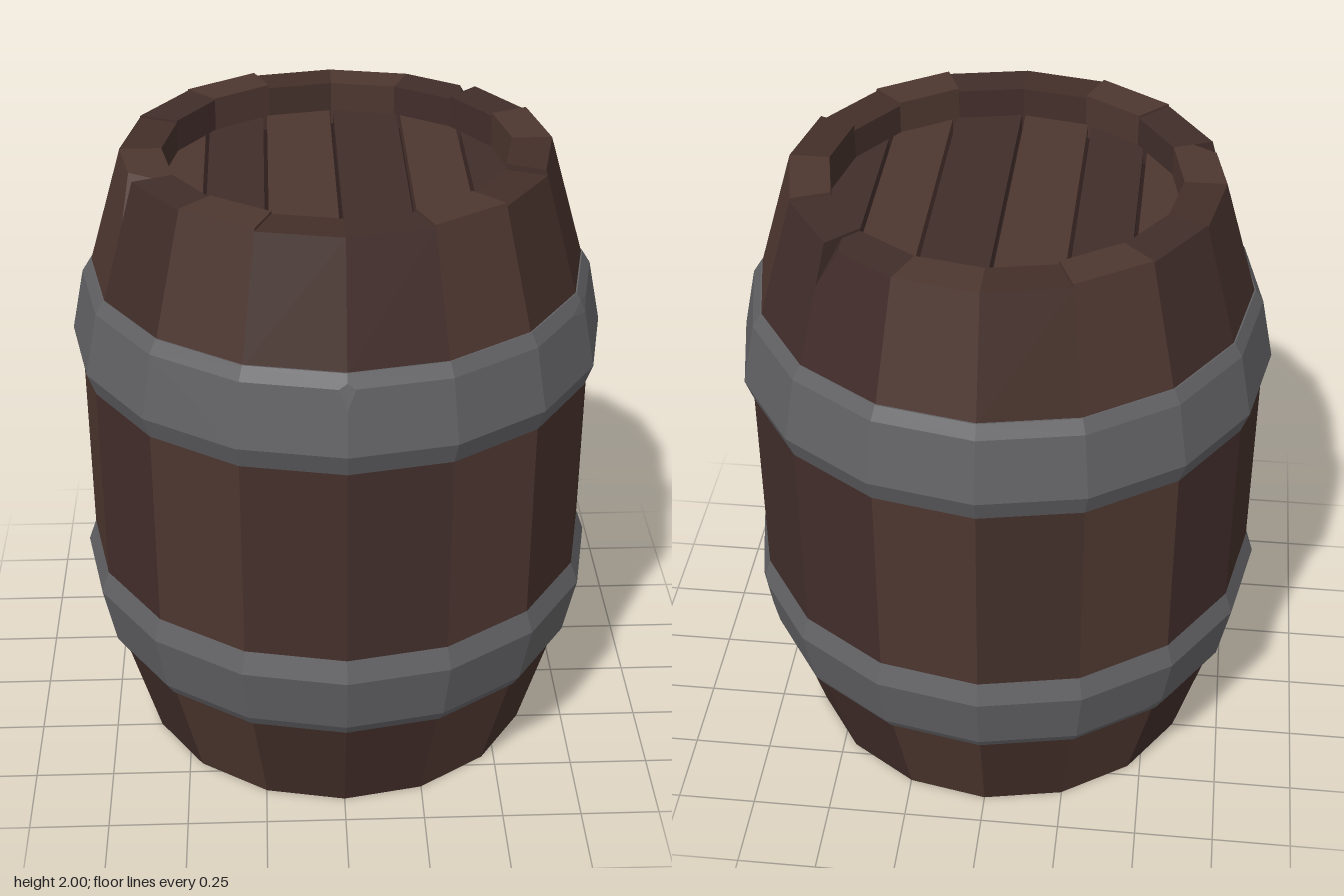
import * as THREE from 'three';
import { ConvexGeometry } from 'three/addons/geometries/ConvexGeometry.js';

const SIDES = 16;
const STEP = (Math.PI * 2) / SIDES;

const paint = (color) => new THREE.MeshStandardMaterial({ color, flatShading: true });
const woods = [0x4d3630, 0x412d2a, 0x432f29].map(paint);
const iron = paint(0x616063);
const gapWood = paint(0x2b1d1b);

const polar = (r, y, i) => new THREE.Vector3(r * Math.cos(i * STEP), y, r * Math.sin(i * STEP));

// One segment of the barrel wall: a convex [radius, height] profile spanning one side.
// A chip cuts the corner at profile point k on edge 0 or 1, by fractions
// towards the next, previous and opposite points.
function wedge(profile, i, chip) {
  const n = profile.length;
  const edges = [0, 1].map((s) => profile.map(([r, y]) => polar(r, y, i + s)));
  const points = [];
  edges.forEach((edge, s) => edge.forEach((p, k) => {
    if (chip && chip.edge === s && chip.k === k) {
      const targets = [edge[(k + 1) % n], edge[(k + n - 1) % n], edges[1 - s][k]];
      targets.forEach((t, j) => points.push(p.clone().lerp(t, chip.cut[j])));
    } else points.push(p);
  }));
  return new ConvexGeometry(points);
}

function addMesh(parent, name, geometry, material) {
  const mesh = new THREE.Mesh(geometry, material);
  mesh.name = name;
  parent.add(mesh);
  return mesh;
}

// Sixteen staves with slightly uneven tops, two of them chipped
function createStaves() {
  const group = new THREE.Group();
  group.name = 'staves';
  const tones = [2, 2, 0, 1, 2, 0, 1, 0, 2, 1, 0, 2, 0, 1, 1, 0];
  const tops = { 0: 2, 15: 2, 2: 1.992, 5: 1.99, 9: 1.988, 10: 1.993, 14: 1.99 };
  const chips = {
    7: { edge: 0, k: 5, cut: [0.5, 0.33, 0.27] },
    13: { edge: 1, k: 5, cut: [0.5, 0.33, 0.22] },
  };
  for (let i = 0; i < SIDES; i++) {
    const top = tops[i] ?? 1.982;
    const rim = 0.645 + (2 - top) * 0.28; // keeps the outer faces on one slope
    const profile = [
      [0.65, 0], [0.757, 0.38], [0.8, 0.58], [0.8, 1.4], [0.757, 1.617], [rim, top], [0.525, top], [0.525, 0],
    ];
    addMesh(group, 'stave', wedge(profile, i, chips[i]), woods[tones[i]]);
  }
  return group;
}

// Iron hoop with bevelled edges; flip mirrors it top to bottom, dents lists worn corners
function createHoop(name, flip, dents) {
  const group = new THREE.Group();
  group.name = name;
  const profile = [[0.76, 0.36], [0.785, 0.4], [0.825, 0.595], [0.8, 0.665], [0.7, 0.665], [0.7, 0.36]]
    .map(([r, y]) => [r, flip ? 1.983 - y : y]);
  for (let i = 0; i < SIDES; i++) {
    let chip;
    for (const { at, k, cut } of dents) {
      if (i === at) chip = { edge: 0, k, cut };
      if ((i + 1) % SIDES === at) chip = { edge: 1, k, cut };
    }
    addMesh(group, 'hoopSegment', wedge(profile, i, chip), iron);
  }
  return group;
}

// Recessed lid of six planks whose edges follow the corners of the sixteen-sided opening
function createLid() {
  const group = new THREE.Group();
  group.name = 'lid';
  const R = 0.56, gap = 0.006;
  const cuts = [8, 6, 5, 4, 3, 2, 0];
  for (let p = 0; p < 6; p++) {
    const from = cuts[p], to = cuts[p + 1];
    const points = [];
    for (let i = to; i <= from; i++) {
      const c = polar(R, 0, i);
      if (i === from && p > 0) c.x += gap;
      if (i === to && p < 5) c.x -= gap;
      for (const y of [1.83, 1.89]) for (const z of [c.z, -c.z]) points.push(new THREE.Vector3(c.x, y, z));
    }
    addMesh(group, 'lidPlank', new ConvexGeometry(points), woods[p % 2 ? 1 : 0]);
  }
  return group;
}

export function createModel() {
  const barrel = new THREE.Group();
  barrel.name = 'barrel';
  barrel.add(createStaves());
  barrel.add(createHoop('lowerHoop', false, [
    { at: 15, k: 2, cut: [0.3, 0.6, 0.1] },
    { at: 10, k: 1, cut: [0.1, 0.5, 0.2] },
  ]));
  barrel.add(createHoop('upperHoop', true, [
    { at: 1, k: 1, cut: [0.1, 0.5, 0.25] },
    { at: 4, k: 1, cut: [0.3, 0.4, 0.08] },
  ]));
  barrel.add(createLid());

  // Core: the dark gaps between lid planks, and the recessed bottom
  const core = addMesh(barrel, 'core', new THREE.CylinderGeometry(0.545, 0.545, 1.72, SIDES), gapWood);
  core.position.y = 0.985;
  const bottom = addMesh(barrel, 'bottomBoard', new THREE.CylinderGeometry(0.545, 0.545, 0.04, SIDES), woods[1]);
  bottom.position.y = 0.132;
  return barrel;
}
